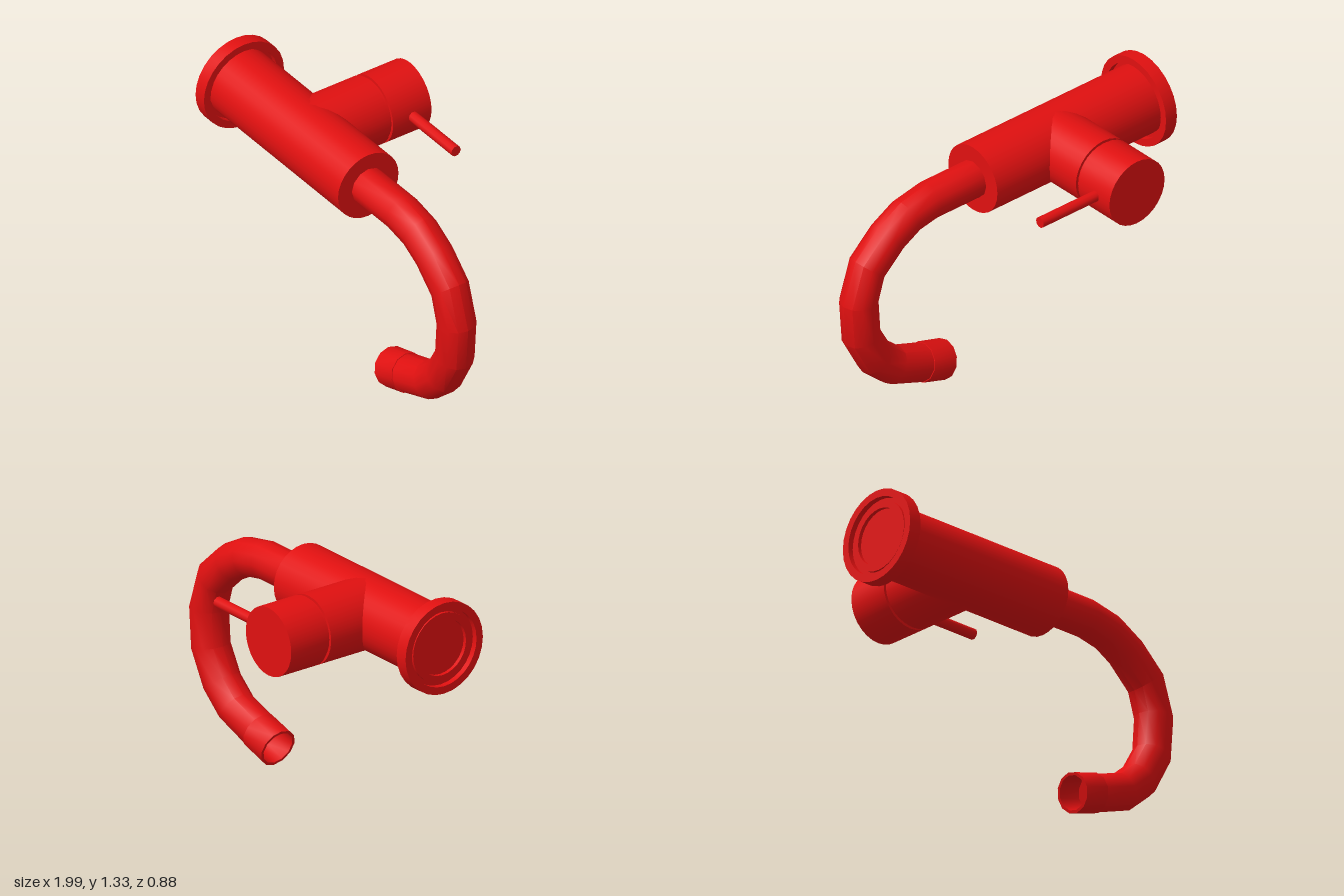
import * as THREE from 'three';
import { toCreasedNormals } from 'three/addons/utils/BufferGeometryUtils.js';

const AXIS_Y = 1.09, AXIS_Z = 0.195;

// Turned part from [radius, distance along axis] pairs
function turned(name, profile, sides, material) {
  const pts = profile.map(([r, d]) => new THREE.Vector2(r, d));
  const geo = toCreasedNormals(new THREE.LatheGeometry(pts, sides), 0.5);
  const mesh = new THREE.Mesh(geo, material);
  mesh.name = name;
  return mesh;
}

// Pipe skinned over rings given as [x, y, heading in degrees, radius]
function bentPipe(name, rings, sides, material) {
  const pos = [], index = [];
  rings.forEach(([x, y, deg, r], i) => {
    const a = THREE.MathUtils.degToRad(deg);
    for (let j = 0; j < sides; j++) {
      const t = (j / sides) * Math.PI * 2, u = Math.cos(t) * r;
      pos.push(x - Math.sin(a) * u, y + Math.cos(a) * u, AXIS_Z + Math.sin(t) * r);
      if (i === 0) continue;
      const k = (j + 1) % sides, p = (i - 1) * sides, q = i * sides;
      index.push(p + j, p + k, q + j, p + k, q + k, q + j);
    }
  });
  const geo = new THREE.BufferGeometry();
  geo.setAttribute('position', new THREE.Float32BufferAttribute(pos, 3));
  geo.setIndex(index);
  const mesh = new THREE.Mesh(toCreasedNormals(geo, 0.6), material);
  mesh.name = name;
  return mesh;
}

export function createModel() {
  const group = new THREE.Group();
  group.name = 'wallTap';
  const red = new THREE.MeshStandardMaterial({ color: 0xe01010, side: THREE.DoubleSide });
  red.name = 'red';

  // Parts turned around the horizontal body axis
  const body = turned('body', [
    [0, -0.965], [0.15, -0.965], [0.15, -0.985], [0.185, -0.985], [0.185, 0.138], [0, 0.138],
  ], 28, red);
  const flange = turned('wallFlange', [
    [0.205, -1], [0.245, -1], [0.245, -0.928], [0.205, -0.928], [0.205, -0.96],
    [0.18, -0.96], [0.18, -0.97], [0.205, -0.97], [0.205, -1],
  ], 28, red);
  for (const part of [body, flange]) {
    part.rotation.z = -Math.PI / 2;
    part.position.set(0, AXIS_Y, AXIS_Z);
    group.add(part);
  }

  // Valve housing and turning cap, separated by a narrow groove
  const valve = turned('valveAndCap', [
    [0.183, 0], [0.183, 0.382], [0.168, 0.382], [0.168, 0.4],
    [0.183, 0.4], [0.183, 0.635], [0, 0.635],
  ], 28, red);
  valve.rotation.x = -Math.PI / 2;
  valve.position.set(-0.392, AXIS_Y, AXIS_Z);
  group.add(valve);

  // Lever pin
  const lever = new THREE.Mesh(new THREE.CylinderGeometry(0.029, 0.029, 0.405, 10), red);
  lever.name = 'lever';
  lever.rotation.z = -Math.PI / 2;
  lever.position.set(-0.0475, 1.093, -0.33);
  group.add(lever);

  // Curved spout
  group.add(bentPipe('spout', [
    [0.1, 1.09, 0, 0.1], [0.43, 1.09, -4, 0.1], [0.58, 1.06, -20, 0.1],
    [0.705, 0.99, -38, 0.1], [0.84, 0.865, -50, 0.1], [0.895, 0.69, -88, 0.1],
    [0.88, 0.48, -104, 0.1], [0.79, 0.315, -128, 0.1], [0.675, 0.215, -147, 0.1],
    [0.48, 0.145, -163, 0.1],
  ], 12, red));

  // Hollow outlet sleeve, with its inner wall and closed bottom
  group.add(bentPipe('outletSleeve', [
    [0.485, 0.147, -163, 0.09], [0.485, 0.147, -163, 0.104], [0.34, 0.103, -163, 0.105],
    [0.34, 0.103, -163, 0.09], [0.47, 0.142, -163, 0.09], [0.47, 0.142, -163, 0.001],
  ], 12, red));

  return group;
}
